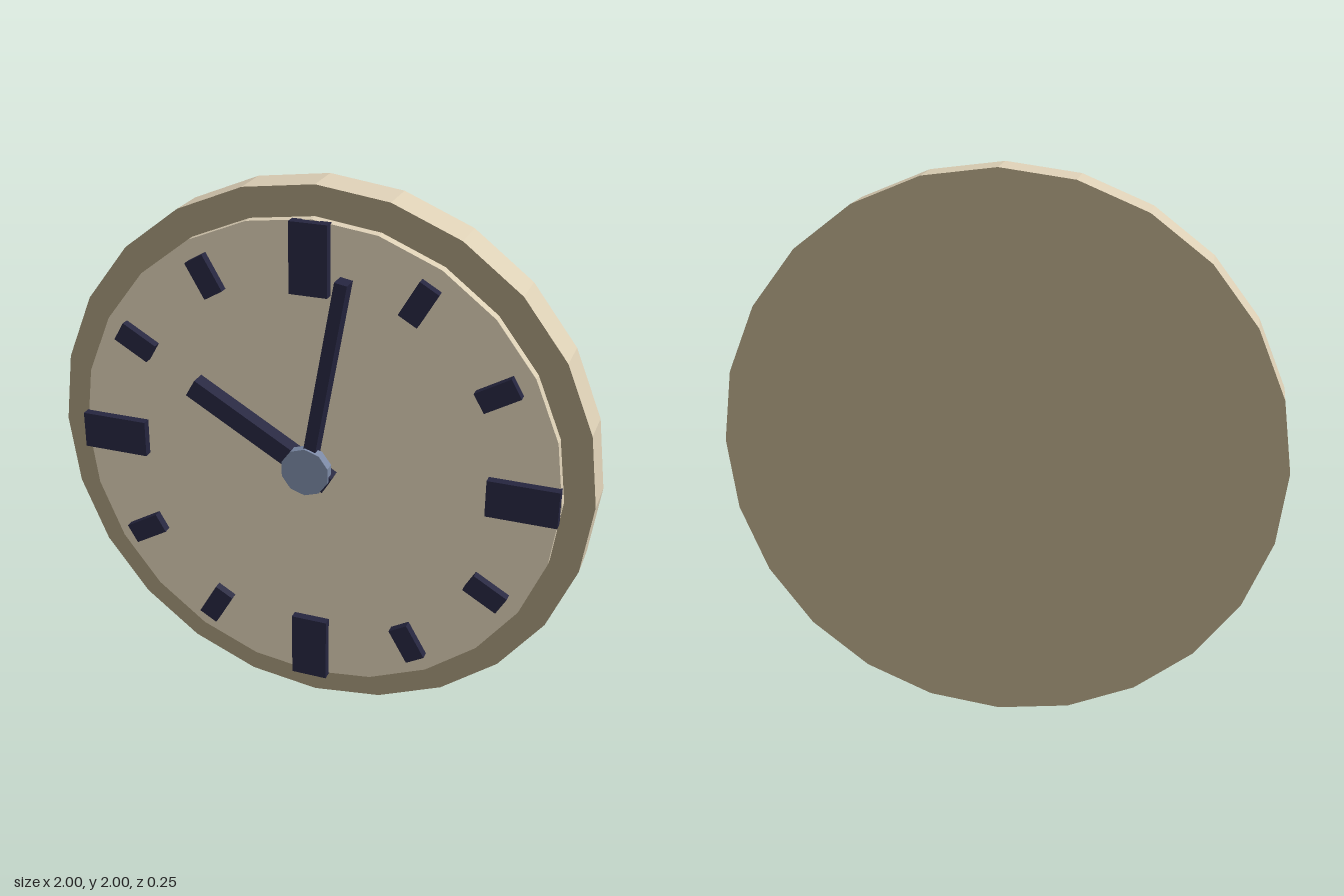
import * as THREE from 'three';

const mat = (name, color, flat = true) => {
  const m = new THREE.MeshStandardMaterial({ color, flatShading: flat });
  m.name = name;
  return m;
};

export function createModel() {
  const clock = new THREE.Group();
  clock.name = 'wallClock';
  const cream = mat('cream', 0xdccfb5);
  const tan = mat('tan', 0xa5987b);
  const navy = mat('navy', 0x25253f);
  const steel = mat('steel', 0x7c8aa6);

  const add = (name, geometry, material) => {
    const mesh = new THREE.Mesh(geometry, material);
    mesh.name = name;
    clock.add(mesh);
    return mesh;
  };

  // Disc facing +z between two depths
  const disc = (name, r, sides, z0, z1, material) => {
    const g = new THREE.CylinderGeometry(r, r, z1 - z0, sides);
    g.rotateX(Math.PI / 2).translate(0, 1, (z0 + z1) / 2);
    return add(name, g, material);
  };

  // Bar pointing outward from the dial centre, clockwise from twelve
  const bar = (name, degrees, width, r0, r1, z0, z1) => {
    const g = new THREE.BoxGeometry(width, r1 - r0, z1 - z0);
    g.translate(0, (r0 + r1) / 2, (z0 + z1) / 2);
    g.rotateZ(-THREE.MathUtils.degToRad(degrees)).translate(0, 1, 0);
    return add(name, g, navy);
  };

  // Case with a cream edge and tan front and back
  disc('case', 1, 24, -0.126, 0.02, [cream, tan, tan]);
  disc('dial', 0.894, 24, 0.015, 0.056, cream);

  // Hour markers, larger at the quarters
  for (let i = 0; i < 12; i++) {
    if (i % 3 === 0) bar('quarterMarker', i * 30, 0.136, 0.64, 0.89, 0.05, 0.088);
    else bar('hourMarker', i * 30, 0.076, 0.69, 0.831, 0.05, 0.088);
  }

  // Hands and centre cap
  bar('hourHand', -60, 0.07, -0.09, 0.502, 0.05, 0.115);
  bar('minuteHand', 10, 0.045, -0.09, 0.717, 0.05, 0.116);
  disc('centreCap', 0.09, 10, 0.088, 0.126, steel);

  return clock;
}
